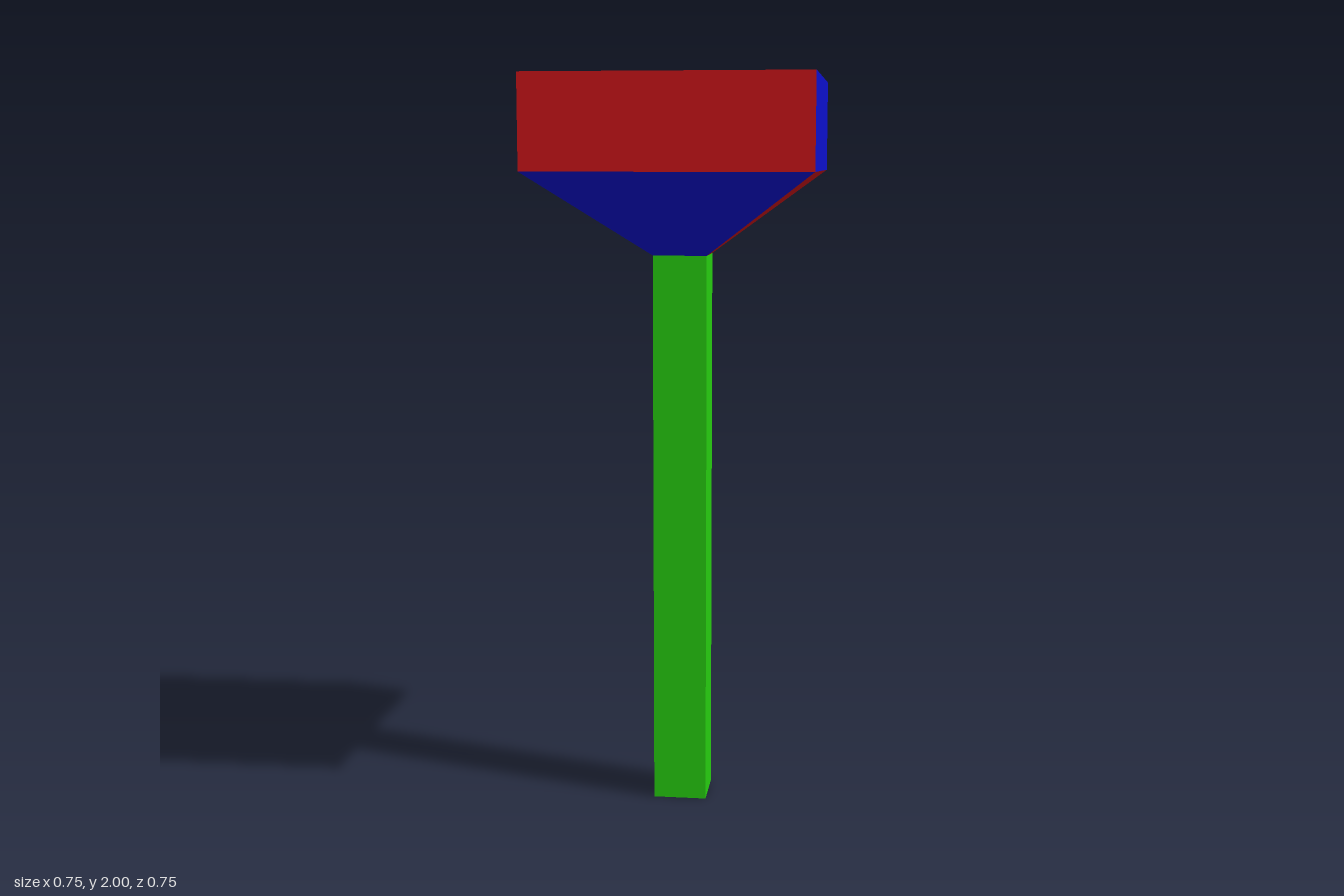
import * as THREE from 'three';

const paint = (color) =>
  new THREE.MeshStandardMaterial({ color, flatShading: true, side: THREE.DoubleSide });

// One flat wall facing +z, tapering from half-width h0 at y0 to h1 at y1
function wallGeometry(h0, y0, h1, y1) {
  const geo = new THREE.PlaneGeometry(1, 1);
  const p = geo.attributes.position;
  p.setXYZ(0, -h1, y1, h1);
  p.setXYZ(1, h1, y1, h1);
  p.setXYZ(2, -h0, y0, h0);
  p.setXYZ(3, h0, y0, h0);
  geo.computeVertexNormals();
  return geo;
}

// Four walls around the y axis; front/back and left/right have their own paint
function squareTube(name, h0, y0, h1, y1, frontBack, leftRight) {
  const group = new THREE.Group();
  group.name = name;
  const geo = wallGeometry(h0, y0, h1, y1);
  ['Front', 'Left', 'Back', 'Right'].forEach((side, i) => {
    const wall = new THREE.Mesh(geo, i % 2 ? leftRight : frontBack);
    wall.name = name + side;
    wall.rotation.y = (i * Math.PI) / 2;
    group.add(wall);
  });
  return group;
}

export function createModel() {
  const model = new THREE.Group();
  model.name = 'squareHeadedPost';

  const red = paint(0xcc1519);
  const blue = paint(0x0c0fcc);
  const green = paint(0x26cc10);
  const yellow = paint(0xc9c418);

  const postHalf = 0.073, headHalf = 0.374;
  const postTop = 1.528, headBottom = 1.753, headTop = 2;

  // Post, open at the foot
  model.add(squareTube('post', postHalf, 0, postHalf, postTop, green, green));
  // Flared neck, with the two side colours swapped
  model.add(squareTube('neck', postHalf, postTop, headHalf, headBottom, blue, red));
  // Head walls
  model.add(squareTube('head', headHalf, headBottom, headHalf, headTop, red, blue));

  // Flat lid on the head
  const lid = new THREE.Mesh(new THREE.PlaneGeometry(headHalf * 2, headHalf * 2), yellow);
  lid.name = 'headTop';
  lid.rotation.x = -Math.PI / 2;
  lid.position.y = headTop;
  model.add(lid);

  return model;
}
